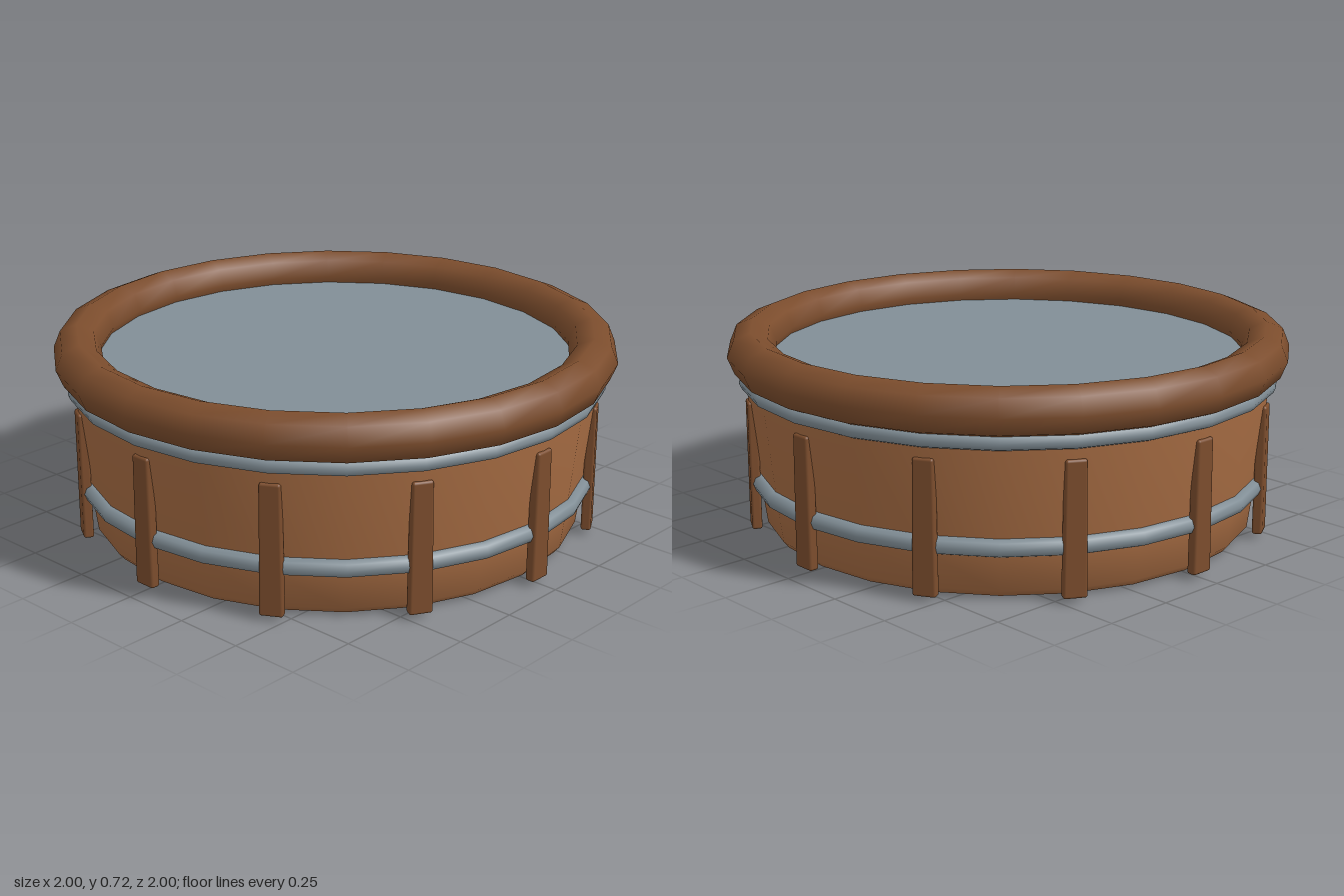
import * as THREE from 'three';
import { RoundedBoxGeometry } from 'three/addons/geometries/RoundedBoxGeometry.js';
import { toCreasedNormals } from 'three/addons/utils/BufferGeometryUtils.js';

const SIDES = 24;
const SLATS = 12;

function material(name, color) {
  const m = new THREE.MeshStandardMaterial({ color });
  m.name = name;
  return m;
}

export function createModel() {
  const tub = new THREE.Group();
  tub.name = 'tub';
  const wood = material('light wood', 0xa56b42);
  const darkWood = material('dark wood', 0x7c4d2d);
  const metal = material('grey metal', 0x818e96);
  const water = material('blue water', 0x4fa6cf);

  function add(name, geometry, mat, parent = tub) {
    const mesh = new THREE.Mesh(geometry, mat);
    mesh.name = name;
    parent.add(mesh);
    return mesh;
  }

  // Horizontal ring with its corners on the x and z axes
  function ring(name, radius, tube, y, tubeSides, mat) {
    const g = new THREE.TorusGeometry(radius, tube, tubeSides, SIDES);
    g.rotateX(Math.PI / 2);
    return add(name, g, mat).position.setY(y);
  }

  // Flat round surface facing up
  function disc(name, radius, y, mat) {
    const g = new THREE.CircleGeometry(radius, SIDES);
    g.rotateX(-Math.PI / 2);
    add(name, g, mat).position.y = y;
  }

  // Flared body with a softened bottom edge and a closed base
  const profile = [
    [0, 0], [0.83, 0], [0.86, 0.008], [0.878, 0.03],
    [0.894, 0.15], [0.932, 0.5], [0.932, 0.62],
  ].map(([r, y]) => new THREE.Vector2(r, y));
  add('body', toCreasedNormals(new THREE.LatheGeometry(profile, SIDES), 0.7), wood);

  // Thick rim and the two metal hoops
  ring('rim', 0.915, 0.084, 0.637, 8, darkWood);
  ring('upperHoop', 0.933, 0.028, 0.545, 8, metal);
  ring('lowerHoop', 0.903, 0.031, 0.186, 8, metal);

  // Surface inside the rim, with the water just beneath it
  disc('surface', 0.86, 0.612, metal);
  disc('water', 0.85, 0.606, water);

  // Upright slats, narrowing towards the top
  const slat = new RoundedBoxGeometry(0.082, 0.464, 0.036, 2, 0.009);
  const p = slat.attributes.position;
  for (let i = 0; i < p.count; i++) {
    const t = Math.max(0, p.getY(i) / 0.232);
    p.setX(i, p.getX(i) * (1 - 0.14 * t));
  }
  const slats = new THREE.Group();
  slats.name = 'slats';
  tub.add(slats);
  for (let i = 0; i < SLATS; i++) {
    const a = (i / SLATS) * Math.PI * 2;
    const mesh = add('slat', slat, darkWood, slats);
    mesh.position.set(Math.sin(a) * 0.92, 0.25, Math.cos(a) * 0.92);
    mesh.rotation.y = a;
  }

  return tub;
}
